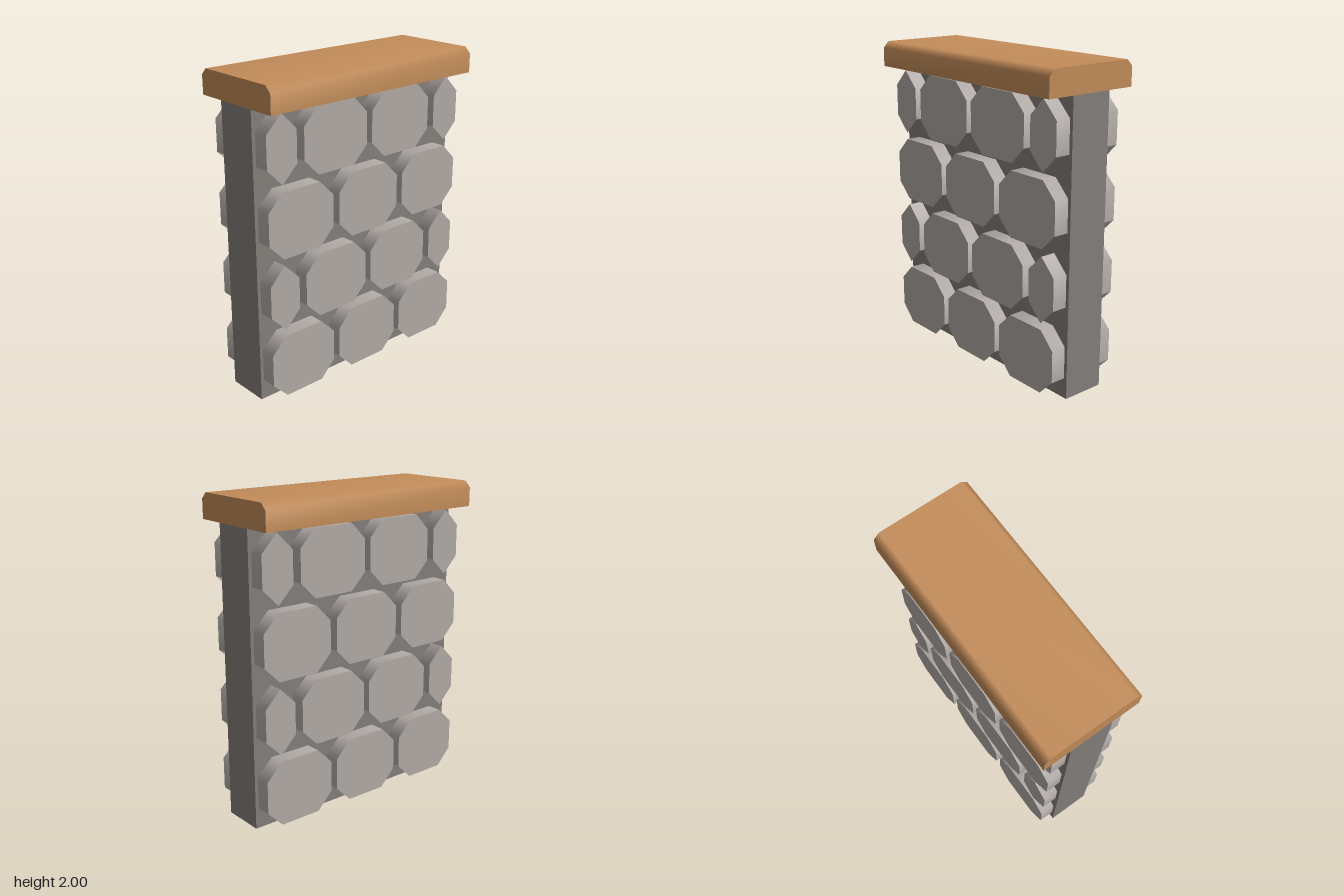
import * as THREE from 'three';
import { mergeGeometries } from 'three/addons/utils/BufferGeometryUtils.js';

const material = (name, color) => {
  const m = new THREE.MeshStandardMaterial({ color, side: THREE.DoubleSide });
  m.name = name;
  return m;
};

// Prism along z with no underside: a ribbon over `upper` plus two end faces,
// which also take in the `lower` corners. Profiles are symmetric in x.
function openPrism(upper, lower, depth, smooth) {
  const positions = [], index = [];
  upper.forEach(([x, y], i) => {
    positions.push(x, y, depth / 2, x, y, -depth / 2);
    if (i < upper.length - 1) {
      const a = i * 2;
      index.push(a, a + 1, a + 3, a, a + 3, a + 2);
    }
  });
  let ribbon = new THREE.BufferGeometry();
  ribbon.setAttribute('position', new THREE.Float32BufferAttribute(positions, 3));
  ribbon.setIndex(index);
  if (!smooth) ribbon = ribbon.toNonIndexed();
  ribbon.computeVertexNormals();

  const shape = new THREE.Shape([...upper, ...lower].map(([x, y]) => new THREE.Vector2(x, y)));
  const face = new THREE.ShapeGeometry(shape);
  face.deleteAttribute('uv');
  const front = face.clone().translate(0, 0, depth / 2);
  const back = face.clone().rotateY(Math.PI).translate(0, 0, -depth / 2);
  return mergeGeometries([ribbon, front, back].map((g) => (g.index ? g.toNonIndexed() : g)));
}

// Octagonal stone that runs right through the wall
function stoneGeometry(width, height, cut, depth) {
  const w = width / 2, h = height / 2;
  return openPrism(
    [[w, cut - h], [w, h - cut], [w - cut, h], [cut - w, h], [-w, h - cut], [-w, cut - h]],
    [[cut - w, -h], [w - cut, -h]],
    depth, true
  );
}

export function createModel() {
  const group = new THREE.Group();
  group.name = 'stoneWall';
  const mortar = material('mortar grey', 0x85807c);
  const stone = material('stone grey', 0xb3aca8);
  const wood = material('cap brown', 0xc48d5a);

  const add = (name, geometry, mat, x = 0, y = 0, parent = group) => {
    const mesh = new THREE.Mesh(geometry, mat);
    mesh.name = name;
    mesh.position.set(x, y, 0);
    parent.add(mesh);
    return mesh;
  };

  // Wall core, open below
  add('wallCore', openPrism([[0.8, 0], [0.8, 1.84], [-0.8, 1.84], [-0.8, 0]], [], 0.28, false), mortar);

  // Cap with bevelled long edges, running along x
  const cap = openPrism(
    [[0.32, 1.84], [0.32, 1.96], [0.28, 2], [-0.28, 2], [-0.32, 1.96], [-0.32, 1.84]],
    [], 1.6, true
  ).rotateY(Math.PI / 2);
  add('cap', cap, wood);

  // Four courses of stones, alternating three wide with two wide and two narrow
  const wide = stoneGeometry(0.487, 0.414, 0.105, 0.48);
  const narrow = stoneGeometry(0.215, 0.414, 0.105, 0.48);
  for (let row = 0; row < 4; row++) {
    const course = new THREE.Group();
    course.name = 'stoneCourse';
    group.add(course);
    const y = 0.232 + row * 0.459;
    const centres = row % 2 ? [-0.265, 0.265] : [-0.534, 0, 0.534];
    for (const x of centres) add('wideStone', wide, stone, x, y, course);
    if (row % 2) for (const s of [-1, 1]) add('narrowStone', narrow, stone, s * 0.67, y, course);
  }
  return group;
}
